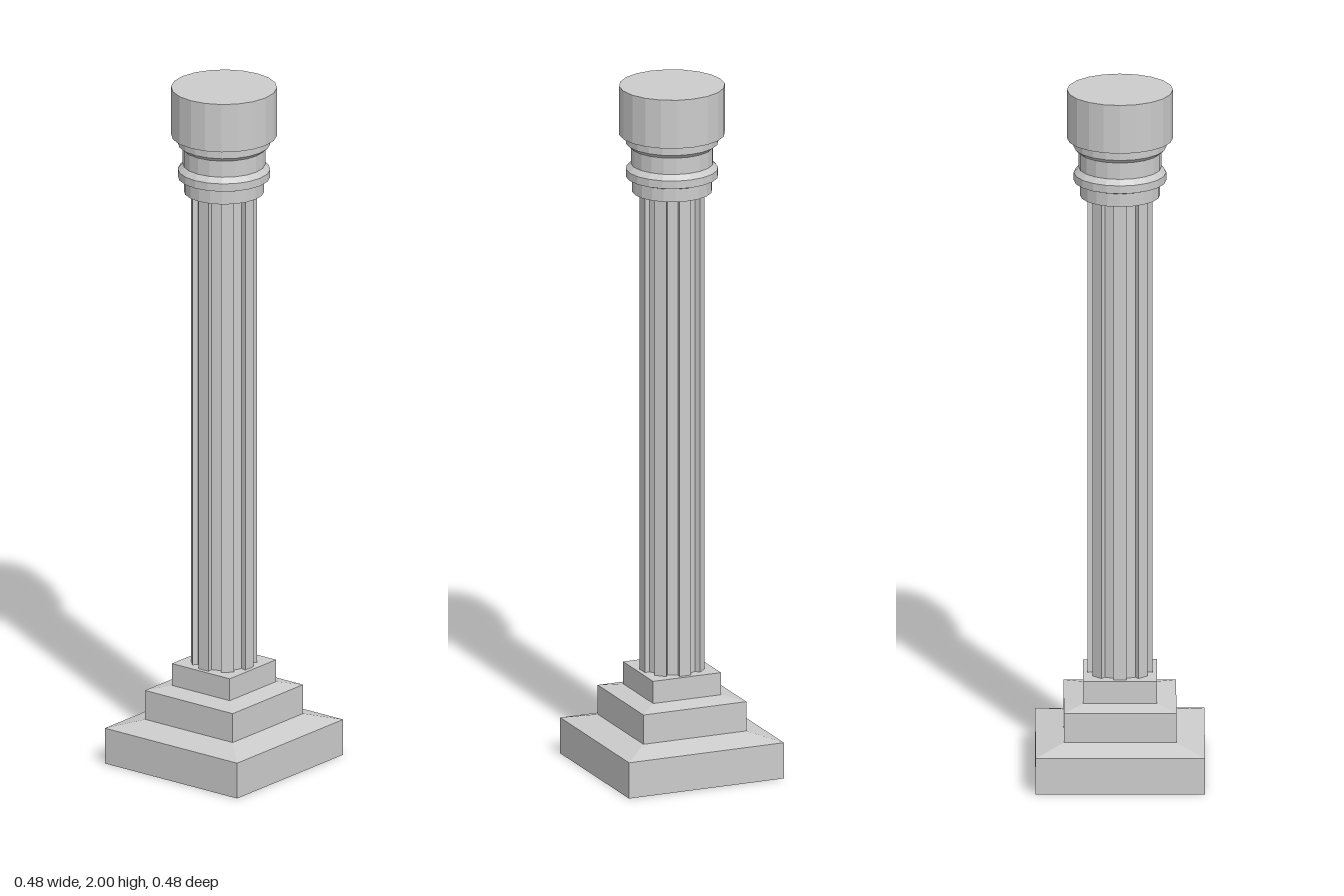
import * as THREE from 'three';

const material = new THREE.MeshStandardMaterial({ color: 0xcccccc, flatShading: true });

// Faceted solid turned from [radius, height] pairs, bottom to top
function turned(name, profile, sides, phiStart = 0, scale = 1) {
  const points = profile.map(([r, y]) => new THREE.Vector2(r * scale, y));
  const mesh = new THREE.Mesh(new THREE.LatheGeometry(points, sides, phiStart), material);
  mesh.name = name;
  return mesh;
}

// Shaft with alternating flat ridges and square-cut grooves
function flutedShaft(bottom, top, ridgeRadius, grooveRadius, flutes) {
  const shape = new THREE.Shape();
  const step = Math.PI / flutes;
  for (let i = 0; i < flutes * 2; i++) {
    const r = i % 2 ? grooveRadius : ridgeRadius;
    for (const side of [-0.5, 0.5]) {
      const a = (i + side) * step;
      const x = Math.cos(a) * r, y = Math.sin(a) * r;
      if (i === 0 && side < 0) shape.moveTo(x, y);
      else shape.lineTo(x, y);
    }
  }
  shape.closePath();
  const geometry = new THREE.ExtrudeGeometry(shape, { depth: top - bottom, bevelEnabled: false });
  geometry.rotateX(-Math.PI / 2).translate(0, bottom, 0);
  const mesh = new THREE.Mesh(geometry, material);
  mesh.name = 'flutedShaft';
  return mesh;
}

export function createModel() {
  const column = new THREE.Group();
  column.name = 'column';

  // Square stepped base with sloped ledges; radii are half-widths
  column.add(turned('steppedBase', [
    [0, 0], [0.238, 0], [0.238, 0.105], [0.158, 0.127], [0.158, 0.213],
    [0.104, 0.225], [0.104, 0.29], [0, 0.29],
  ], 4, Math.PI / 4, Math.SQRT2));

  column.add(flutedShaft(0.285, 1.695, 0.093, 0.077, 8));

  // Round moulded capital
  column.add(turned('capital', [
    [0, 1.69], [0.113, 1.69], [0.113, 1.728], [0.13, 1.734], [0.13, 1.757],
    [0.116, 1.772], [0.116, 1.82], [0.13, 1.832], [0.13, 1.858],
  ], 20));

  // Top drum
  column.add(turned('topDrum', [[0, 1.858], [0.149, 1.858], [0.149, 2], [0, 2]], 20));

  return column;
}
